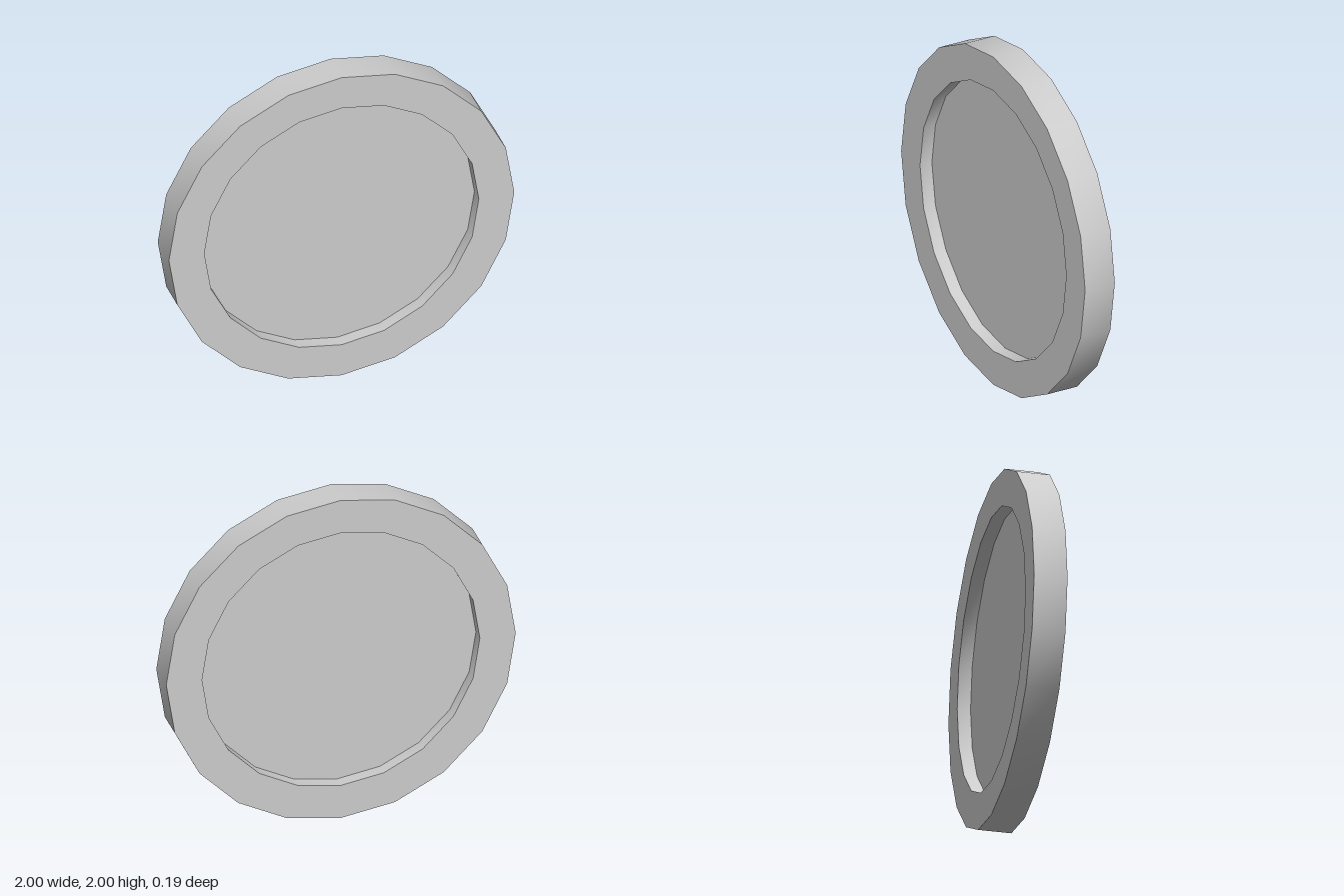
import * as THREE from 'three';
import { toCreasedNormals } from 'three/addons/utils/BufferGeometryUtils.js';

const SIDES = 20;
const RADIUS = 1;
const RECESS_RADIUS = 0.795;
const HALF_RIM = 0.094; // half thickness of the raised rim
const HALF_FLOOR = 0.019; // half thickness of the recessed middle

export function createModel() {
  const group = new THREE.Group();
  group.name = 'coin';

  // Cross-section from the back centre, around the rim, to the front centre
  const profile = [
    [0, -HALF_FLOOR],
    [RECESS_RADIUS, -HALF_FLOOR],
    [RECESS_RADIUS, -HALF_RIM],
    [RADIUS, -HALF_RIM],
    [RADIUS, HALF_RIM],
    [RECESS_RADIUS, HALF_RIM],
    [RECESS_RADIUS, HALF_FLOOR],
    [0, HALF_FLOOR],
  ].map(([r, y]) => new THREE.Vector2(r, y));

  // Smooth around the circumference, sharp at the rim edges
  const geometry = toCreasedNormals(new THREE.LatheGeometry(profile, SIDES), Math.PI / 5);
  geometry.rotateX(Math.PI / 2);

  const disc = new THREE.Mesh(geometry, new THREE.MeshStandardMaterial({ color: 0xcccccc }));
  disc.name = 'rimmedDisc';
  disc.position.y = RADIUS;
  group.add(disc);
  return group;
}
